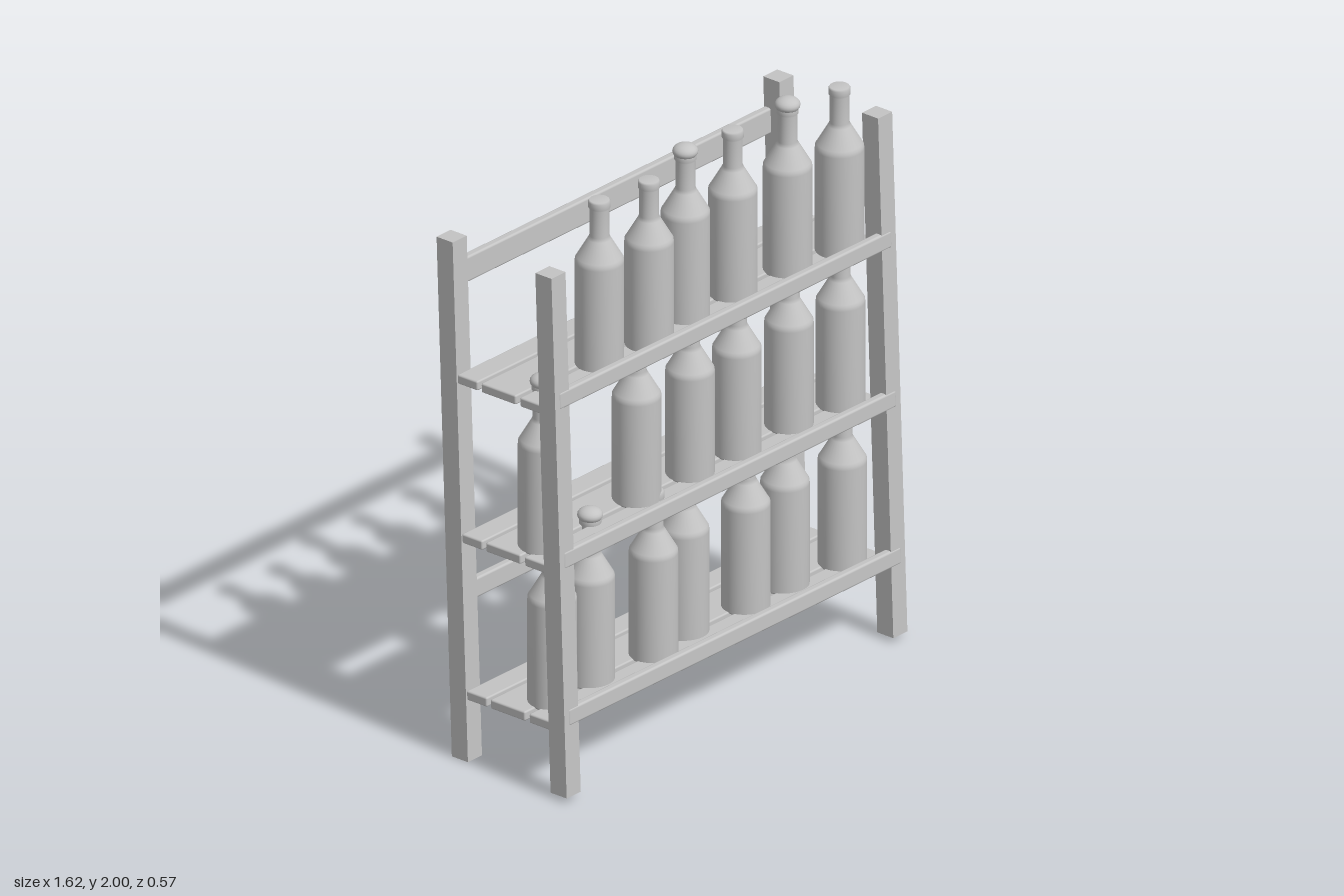
import * as THREE from 'three';
import { RoundedBoxGeometry } from 'three/addons/geometries/RoundedBoxGeometry.js';

const grey = new THREE.MeshStandardMaterial({ color: 0xc4c4c4 });
grey.name = 'plain grey';

function add(parent, name, geometry, x, y, z) {
  const mesh = new THREE.Mesh(geometry, grey);
  mesh.name = name;
  mesh.position.set(x, y, z);
  parent.add(mesh);
  return mesh;
}

// Leaning frame: posts, shelf slats, front lips and back rails
function buildRack() {
  const rack = new THREE.Group();
  rack.name = 'rack';
  rack.position.set(0, 0.009, 0.035);
  rack.rotation.x = -0.036;

  const post = new THREE.BoxGeometry(0.067, 1.845, 0.07);
  for (const x of [-0.776, 0.776]) {
    add(rack, 'frontPost', post, x, 0.9225, 0.215);
    add(rack, 'backPost', post, x, 0.9225, -0.215);
  }

  // slats as [centre z, depth]
  const slats = [[0.138, 0.095], [-0.003, 0.15], [-0.138, 0.088]];
  const lip = new RoundedBoxGeometry(1.58, 0.06, 0.03, 2, 0.008);
  for (const y of [0.235, 0.792, 1.358]) {
    for (const [z, depth] of slats) {
      add(rack, 'shelfSlat', new RoundedBoxGeometry(1.61, 0.033, depth, 2, 0.006), 0, y, z);
    }
    add(rack, 'shelfLip', lip, 0, y + 0.043, 0.237);
  }

  for (const [y, height] of [[0.565, 0.07], [1.695, 0.09]]) {
    add(rack, 'backRail', new RoundedBoxGeometry(1.58, height, 0.03, 2, 0.008), 0, y, -0.237);
  }
  return rack;
}

// Bottle outline: body, sloping shoulder, neck and lip
const outline = [
  [0, 0], [0.074, 0], [0.08, 0.008], [0.08, 0.37], [0.079, 0.382], [0.074, 0.39],
  [0.038, 0.453], [0.032, 0.465], [0.032, 0.56], [0.036, 0.566], [0.036, 0.586],
  [0.032, 0.592], [0, 0.592],
].map(([r, y]) => new THREE.Vector2(r, y));
const bottleGeometry = new THREE.LatheGeometry(outline, 32);
const stopperGeometry = new THREE.SphereGeometry(0.042, 24, 12).scale(1, 0.62, 1);

function buildBottle(x, y, z, stoppered) {
  const bottle = new THREE.Group();
  bottle.name = 'bottle';
  bottle.position.set(x, y, z);
  add(bottle, 'bottleBody', bottleGeometry, 0, 0, 0);
  if (stoppered) add(bottle, 'stopper', stopperGeometry, 0, 0.594, 0);
  return bottle;
}

// Rows of bottles as [x, z, has a stopper]
const rows = [
  { y: 0.255, bottles: [[-0.677, 0.1], [-0.48, 0.085, 1], [-0.212, 0.115], [-0.026, 0.08], [0.243, 0.1], [0.44, 0.09], [0.68, 0.12]] },
  { y: 0.815, bottles: [[-0.7, 0.08, 1], [-0.248, 0.075, 1], [0, 0.08], [0.217, 0.085], [0.47, 0.08], [0.693, 0.1]] },
  { y: 1.38, bottles: [[-0.447, 0.095], [-0.235, 0.117], [-0.008, 0.067, 1], [0.212, 0.072], [0.458, 0.085, 1], [0.67, 0.117]] },
];

export function createModel() {
  const model = new THREE.Group();
  model.name = 'bottleRack';
  model.add(buildRack());
  for (const { y, bottles } of rows) {
    for (const [x, z, stoppered] of bottles) model.add(buildBottle(x, y, z, stoppered));
  }
  return model;
}
